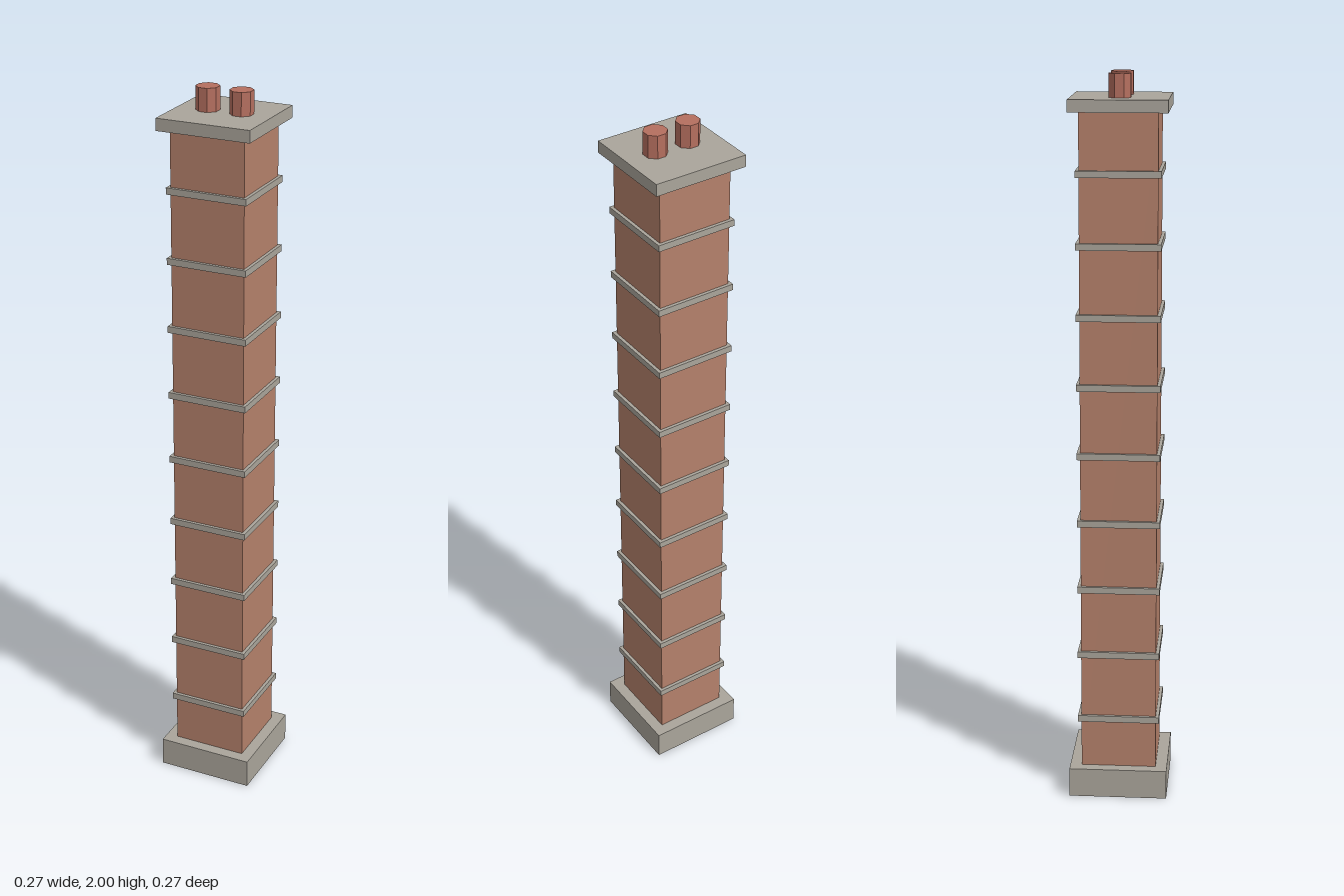
import * as THREE from 'three';

export function createModel() {
  const model = new THREE.Group();
  model.name = 'chimney';
  const material = (color) => new THREE.MeshStandardMaterial({ color, flatShading: true });
  const brick = material(0xb5816b);
  const stone = material(0xaaa59b);
  const clay = material(0xb56f5f);

  // Square block given by its full width and its bottom and top heights
  function block(name, width, bottom, top, mat) {
    const mesh = new THREE.Mesh(new THREE.BoxGeometry(width, top - bottom, width), mat);
    mesh.position.y = (bottom + top) / 2;
    mesh.name = name;
    model.add(mesh);
  }

  block('base', 0.272, 0, 0.082, stone);
  block('shaft', 0.208, 0.082, 1.905, brick);
  block('cap', 0.261, 1.905, 1.938, stone);

  // Evenly spaced string courses around the shaft
  for (let i = 0; i < 9; i++) {
    const y = 0.225 + i * 0.19;
    block(`band${i + 1}`, 0.226, y - 0.009, y + 0.009, stone);
  }

  // Two octagonal pots, flats facing the axes
  const potGeometry = new THREE.CylinderGeometry(0.0315, 0.0315, 0.062, 8).rotateY(Math.PI / 8);
  for (const side of [-1, 1]) {
    const pot = new THREE.Mesh(potGeometry, clay);
    pot.position.set(side * 0.0475, 1.969, 0);
    pot.name = side > 0 ? 'leftPot' : 'rightPot';
    model.add(pot);
  }

  return model;
}
